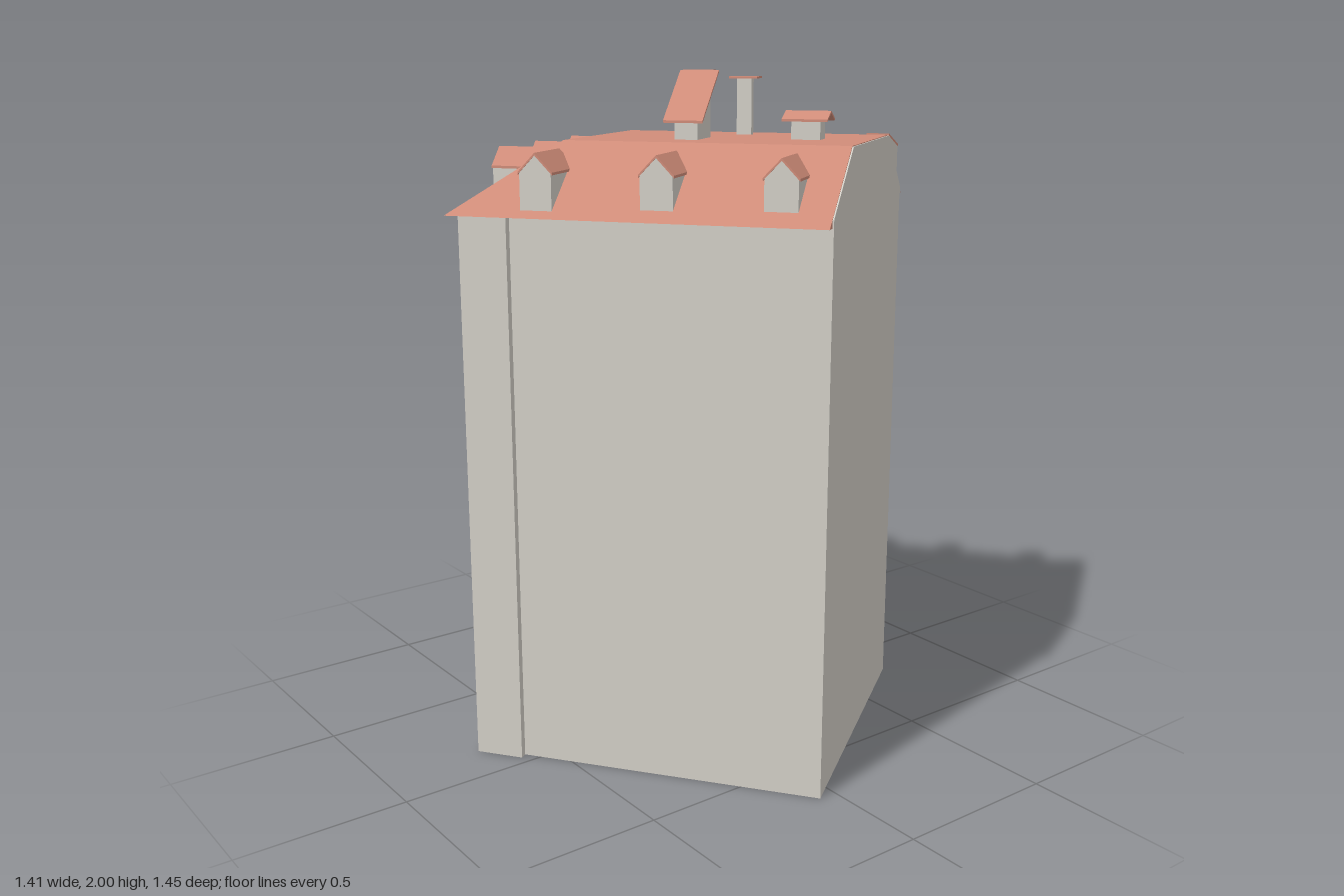
import * as THREE from 'three';
import { ConvexGeometry } from 'three/addons/geometries/ConvexGeometry.js';

const wallMat = new THREE.MeshStandardMaterial({ color: 0xd3cfc7, side: THREE.DoubleSide });
wallMat.name = 'pale wall';
const roofMat = new THREE.MeshStandardMaterial({ color: 0xd08c79, side: THREE.DoubleSide });
roofMat.name = 'red roof tile';

const EAVE = 1.615, FLAT = 1.81, TURN = Math.PI / 5;

// Outline extruded along local z, from z0 to z0 + depth
function prism(name, pts, z0, depth, mat) {
  const shape = new THREE.Shape(pts.map(([x, y]) => new THREE.Vector2(x, y)));
  const geo = new THREE.ExtrudeGeometry(shape, { depth, bevelEnabled: false });
  geo.translate(0, 0, z0);
  const mesh = new THREE.Mesh(geo, mat);
  mesh.name = name;
  return mesh;
}

function box(name, w, h, d, y, mat) {
  const mesh = new THREE.Mesh(new THREE.BoxGeometry(w, h, d), mat);
  mesh.position.y = y;
  mesh.name = name;
  return mesh;
}

function place(name, x, z, turn, ...parts) {
  const g = new THREE.Group();
  g.name = name;
  g.position.set(x, 0, z);
  g.rotation.y = turn;
  g.add(...parts);
  return g;
}

// Thin folded roof over a ridge along local z
function foldedRoof(half, eave, ridge, z0, depth) {
  const t = 0.007;
  return prism('pitchedRoof', [[-half, eave], [0, ridge], [half, eave], [half, eave - t], [0, ridge - t], [-half, eave - t]],
    z0, depth, roofMat);
}

function dormer(x, z, nx, nz) {
  const w = 0.046, eave = 1.738, ridge = 1.79, len = 0.178;
  return place('dormer', x, z, Math.atan2(nx, nz),
    prism('dormerBody', [[-w, EAVE + 0.01], [w, EAVE + 0.01], [w, eave - 0.003], [0, ridge - 0.003], [-w, eave - 0.003]],
      -len + 0.01, len - 0.01, wallMat),
    foldedRoof(w + 0.004, eave, ridge, -len, len + 0.002));
}

function chimney(x, z, top) {
  return place('chimney', x, z, TURN,
    box('chimneyStack', 0.045, top - 1.8, 0.024, (top + 1.8) / 2 - 0.003, wallMat),
    box('chimneyCap', 0.085, 0.006, 0.06, top - 0.003, roofMat));
}

export function createModel() {
  const model = new THREE.Group();
  model.name = 'house';

  // Wall footprint with shallow steps, as [x, z]
  const A = [-0.645, -0.112], B = [0.163, -0.702], C = [0.688, 0.055], D = [-0.145, 0.69];
  const along = (p, q, t, ox = 0, oz = 0) => [p[0] + (q[0] - p[0]) * t + ox, p[1] + (q[1] - p[1]) * t + oz];
  const plan = [A];
  for (const [t0, t1] of [[0.13, 0.32], [0.41, 0.55], [0.68, 0.86]]) {
    plan.push(along(A, D, t0), along(A, D, t0, 0.01, -0.0065), along(A, D, t1, 0.01, -0.0065), along(A, D, t1));
  }
  plan.push(D, [-0.03, 0.606], [-0.042, 0.588], C, B);
  plan.push(along(B, A, 0.68), along(B, A, 0.68, 0.005, 0.007), along(B, A, 0.86, 0.005, 0.007), along(B, A, 0.86));
  const walls = prism('walls', plan.map(([x, z]) => [x, -z]), 0, EAVE, wallMat);
  walls.geometry.rotateX(-Math.PI / 2);
  model.add(walls);

  // Main roof: three slopes, flat top and one upright end
  const eaves = [[-0.705, -0.115], [0.14, -0.73], [0.705, 0.085], [-0.17, 0.72]];
  const deck = [[-0.372, -0.05], [0.28, -0.528], [0.565, -0.117], [-0.102, 0.37]];
  const roof = new THREE.Mesh(new ConvexGeometry([
    ...eaves.map(([x, z]) => new THREE.Vector3(x, EAVE, z)),
    ...deck.map(([x, z]) => new THREE.Vector3(x, FLAT, z))]), roofMat);
  roof.name = 'mainRoof';
  model.add(roof);

  // Upright end wall and the half dormer beside it; local x runs along the wall
  model.add(place('endWall', 0.14, -0.73, -Math.atan2(0.815, 0.565),
    prism('gable', [[0.035, 1.6], [0.96, 1.6], [0.96, 1.638], [0.743, 1.808], [0.247, 1.808], [0.035, 1.638]],
      -0.004, 0.006, wallMat),
    prism('cornerDormer', [[0.103, 1.66], [0.103, 1.768], [0.243, 1.806], [0.25, 1.7]], -0.004, 0.066, wallMat),
    prism('cornerDormerRoof', [[0.098, 1.767], [0.098, 1.774], [0.247, 1.814], [0.247, 1.807]], -0.004, 0.068, roofMat)));

  // Three dormers on each slope: outward direction, then front positions
  const rows = [
    [-0.588, -0.809, [[0.015, -0.58], [-0.26, -0.38], [-0.487, -0.212]]],
    [-0.842, 0.539, [[-0.525, 0.073], [-0.385, 0.29], [-0.26, 0.485]]],
    [0.588, 0.809, [[0.03, 0.545], [0.298, 0.335], [0.567, 0.13]]],
  ];
  for (const [nx, nz, spots] of rows) {
    for (const [x, z] of spots) model.add(dormer(x, z, nx, nz));
  }

  // Chimneys
  model.add(chimney(-0.015, -0.045, 2), chimney(0.005, -0.203, 1.98));

  // Stair housing with a lean-to roof; local x runs down the slope
  model.add(place('stairHousing', 0.018, -0.022, TURN - Math.PI / 2,
    prism('housingBody', [[0.003, 1.8], [0.135, 1.8], [0.135, 1.884], [0.003, 1.992]], -0.034, 0.068, wallMat),
    prism('leanToRoof', [[0, 2], [0, 1.993], [0.165, 1.858], [0.165, 1.865]], -0.058, 0.116, roofMat)));

  // Small vent house with a pitched roof
  model.add(place('ventHouse', 0.284, -0.208, TURN + Math.PI / 2,
    prism('ventBody', [[-0.032, 1.8], [0.032, 1.8], [0.032, 1.87], [0, 1.885], [-0.032, 1.87]], -0.042, 0.084, wallMat),
    foldedRoof(0.05, 1.868, 1.89, -0.066, 0.132)));

  return model;
}
